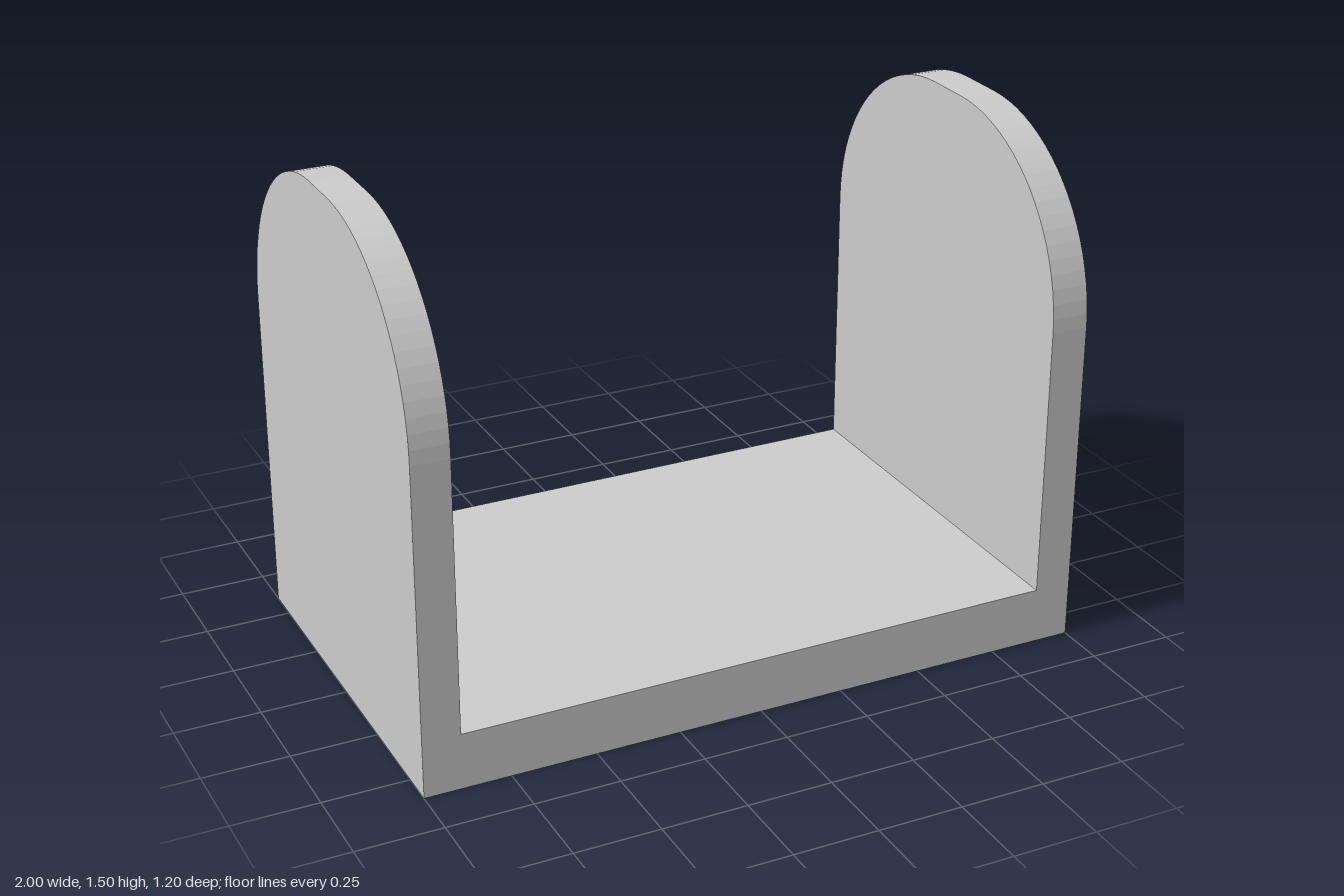
import * as THREE from 'three';

const HALF_DEPTH = 0.6, HEIGHT = 1.5, WALL = 0.11, BASE = 0.167, RADIUS = 0.53;

// Side panel outline: square foot, two rounded upper corners and a short flat top
function panelShape() {
  const c = HALF_DEPTH - RADIUS, y = HEIGHT - RADIUS;
  const shape = new THREE.Shape();
  shape.moveTo(-HALF_DEPTH, 0);
  shape.lineTo(HALF_DEPTH, 0);
  shape.lineTo(HALF_DEPTH, y);
  shape.absarc(c, y, RADIUS, 0, Math.PI / 2, false);
  shape.absarc(-c, y, RADIUS, Math.PI / 2, Math.PI, false);
  shape.closePath();
  return shape;
}

export function createModel() {
  const group = new THREE.Group();
  group.name = 'cradleBracket';
  const material = new THREE.MeshStandardMaterial({ color: 0xcccccc, flatShading: true });

  // Base plate between the panels
  const base = new THREE.Mesh(new THREE.BoxGeometry(2 - 2 * WALL, BASE, 2 * HALF_DEPTH), material);
  base.name = 'basePlate';
  base.position.y = BASE / 2;
  group.add(base);

  // Rounded side panels, extruded across x
  const panel = new THREE.ExtrudeGeometry(panelShape(), { depth: WALL, bevelEnabled: false, curveSegments: 10 });
  panel.rotateY(Math.PI / 2);
  for (const [name, x] of [['leftPanel', 1 - WALL], ['rightPanel', -1]]) {
    const mesh = new THREE.Mesh(panel, material);
    mesh.name = name;
    mesh.position.x = x;
    group.add(mesh);
  }
  return group;
}
